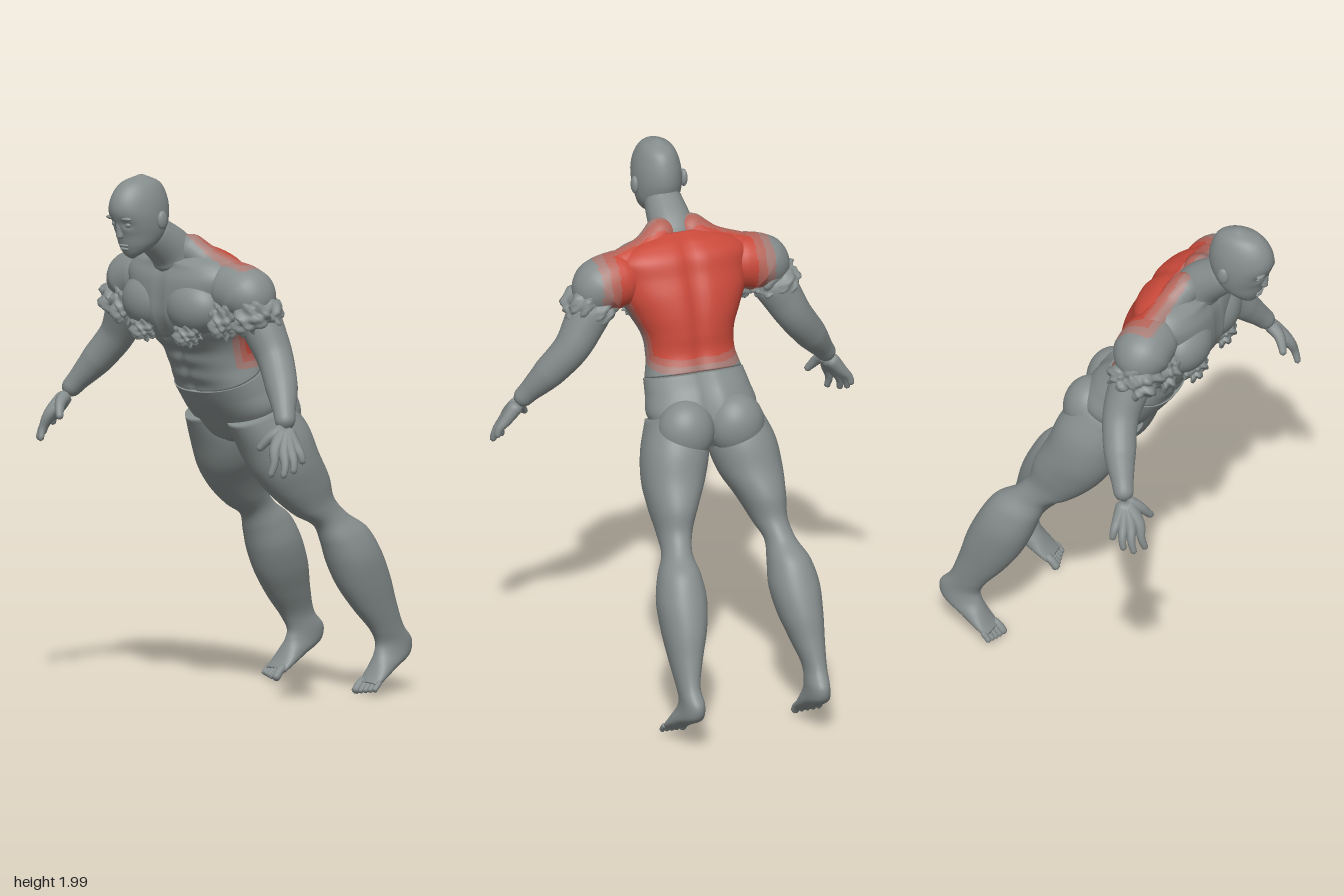
import * as THREE from 'three';
import { mergeVertices } from 'three/addons/utils/BufferGeometryUtils.js';

const V = (x, y, z) => new THREE.Vector3(x, y, z);
const gauss = (d, w) => Math.exp(-(d * d) / (w * w));

function material(name, color) {
  const m = new THREE.MeshStandardMaterial({ color });
  m.name = name;
  return m;
}

// weld a geometry so that it shades smoothly
function weld(g) {
  g.deleteAttribute('uv');
  g.deleteAttribute('normal');
  const w = mergeVertices(g, 1e-5);
  w.computeVertexNormals();
  return w;
}

// skin over tilted ovals, top to bottom: [front z, front y, back z, back y, x0, x1]
function loft(sections, { rows = 60, cols = 48, power = 2, relief = () => 1 } = {}) {
  const front = new THREE.CatmullRomCurve3(sections.map(s => V(s[5], s[1], s[0])));
  const back = new THREE.CatmullRomCurve3(sections.map(s => V(s[4], s[3], s[2])));
  const bend = v => Math.sign(v) * Math.pow(Math.abs(v), 2 / power);
  const pos = [], index = [];
  for (let i = 0; i <= rows + 2; i++) {
    const t = Math.min(1, Math.max(0, (i - 1) / rows));
    const cap = i === 0 || i === rows + 2 ? 0 : 1;
    const f = front.getPoint(t), b = back.getPoint(t);
    const mid = f.clone().add(b).multiplyScalar(0.5);
    const hx = (f.x - b.x) / 2, hy = (f.y - b.y) / 2, hz = (f.z - b.z) / 2;
    for (let j = 0; j < cols; j++) {
      const a = (j / cols) * Math.PI * 2, c = bend(Math.cos(a)), s = bend(Math.sin(a));
      const p = V(hx * c, hy * s, hz * s);
      p.multiplyScalar(cap * relief(p.x + mid.x, p.y + mid.y, s)).add(mid);
      pos.push(p.x, p.y, p.z);
      if (i < rows + 2) {
        const k = (j + 1) % cols, A = i * cols + j, B = i * cols + k;
        index.push(A, B, A + cols, B, B + cols, A + cols);
      }
    }
  }
  const g = new THREE.BufferGeometry();
  g.setAttribute('position', new THREE.Float32BufferAttribute(pos, 3));
  g.setIndex(index);
  g.computeVertexNormals();
  return g;
}

// round-ended tube whose radius follows the listed values
function limb(points, radii, steps = 24, sides = 16) {
  const curve = new THREE.CatmullRomCurve3(points);
  const g = new THREE.TubeGeometry(curve, steps, 1, sides);
  const p = g.attributes.position, v = V(0, 0, 0), length = curve.getLength();
  for (let i = 0; i <= steps; i++) {
    const u = i / steps, c = curve.getPointAt(u);
    const t = curve.getUtoTmapping(u) * (radii.length - 1);
    const k = Math.min(Math.floor(t), radii.length - 2);
    let r = THREE.MathUtils.lerp(radii[k], radii[k + 1], t - k);
    const e = Math.min(1, (length * Math.min(u, 1 - u)) / r);
    r *= Math.sqrt(1 - (1 - e) ** 2);
    for (let j = 0; j <= sides; j++) {
      const n = i * (sides + 1) + j;
      v.fromBufferAttribute(p, n).sub(c).multiplyScalar(r).add(c);
      p.setXYZ(n, v.x, v.y, v.z);
    }
  }
  return weld(g);
}

// ellipsoid, crumpled when rough > 0
function blob(c, r, rough = 0) {
  const g = weld(new THREE.IcosahedronGeometry(1, rough ? 10 : 7));
  const p = g.attributes.position;
  for (let i = 0; i < p.count; i++) {
    const x = p.getX(i), y = p.getY(i), z = p.getZ(i);
    const k = 1 + rough * (Math.sin(7 * x + 5 * y) * Math.sin(8 * z - 3 * y) + 0.6 * Math.sin(13 * y + 9 * x) * Math.cos(12 * z));
    p.setXYZ(i, c[0] + x * r[0] * k, c[1] + y * r[1] * k, c[2] + z * r[2] * k);
  }
  g.computeVertexNormals();
  return g;
}

// sort faces into skin, pale, middle and core colour groups on the back
function paintBack(g) {
  const p = g.attributes.position, ids = g.index.array, sets = [[], [], [], []];
  for (let i = 0; i < ids.length; i += 3) {
    const tri = [ids[i], ids[i + 1], ids[i + 2]];
    const mean = f => tri.reduce((s, n) => s + f(n), 0) / 3;
    const x = Math.abs(mean(n => p.getX(n))), y = mean(n => p.getY(n)), z = mean(n => p.getZ(n));
    const depth = Math.min(0.1 + (y - 1.3) * 0.33 - z, (y - 1.31) * 1.4, 0.27 - x);
    sets[depth > 0 ? 3 : depth > -0.035 ? 2 : depth > -0.07 ? 1 : 0].push(...tri);
  }
  g.setIndex(sets.flat());
  let start = 0;
  sets.forEach((s, k) => { g.addGroup(start, s.length, k); start += s.length; });
  return g;
}

export function createModel() {
  const skin = material('grey skin', 0x858d8c);
  const backColours = [skin, material('pale red edge', 0xa67c76), material('middle red band', 0xb6655a), material('red back muscle', 0xc9493a)];
  const model = new THREE.Group();
  model.name = 'leaningMuscularFigure';
  const add = (name, geometry, mat = skin) => {
    const m = new THREE.Mesh(geometry, mat);
    m.name = name;
    model.add(m);
  };

  // head with eye sockets
  add('head', loft([
    [0.5, 1.998, 0.475, 1.999, -0.012, 0.012], [0.575, 1.972, 0.405, 1.965, -0.058, 0.058],
    [0.612, 1.93, 0.378, 1.91, -0.081, 0.081], [0.625, 1.88, 0.372, 1.855, -0.09, 0.09],
    [0.61, 1.83, 0.382, 1.81, -0.089, 0.089], [0.588, 1.785, 0.4, 1.77, -0.081, 0.081],
    [0.575, 1.74, 0.43, 1.745, -0.067, 0.067], [0.557, 1.705, 0.46, 1.73, -0.045, 0.045],
    [0.535, 1.69, 0.49, 1.72, -0.018, 0.018],
  ], { relief: (x, y, s) => s > 0 ? 1 - 0.1 * gauss(Math.abs(x) - 0.037, 0.02) * gauss(y - 1.825, 0.016) : 1 }));
  add('nose', limb([V(0, 1.84, 0.6), V(0, 1.8, 0.594), V(0, 1.768, 0.588)], [0.01, 0.012, 0.017]));
  add('upperLip', blob([0, 1.743, 0.571], [0.026, 0.007, 0.012]));
  add('lowerLip', blob([0, 1.73, 0.567], [0.022, 0.007, 0.012]));
  add('neck', limb([V(0, 1.62, 0.29), V(0, 1.7, 0.335), V(0, 1.77, 0.42), V(0, 1.82, 0.47)], [0.1, 0.085, 0.072, 0.07]));

  // upper body with spine, chest and belly grooves
  add('torso', paintBack(loft([
    [0.385, 1.665, 0.235, 1.73, -0.12, 0.12], [0.385, 1.645, 0.175, 1.705, -0.22, 0.22],
    [0.4, 1.6, 0.128, 1.665, -0.265, 0.265], [0.405, 1.53, 0.1, 1.605, -0.255, 0.255],
    [0.4, 1.46, 0.07, 1.545, -0.24, 0.24], [0.365, 1.39, 0.045, 1.475, -0.205, 0.205],
    [0.305, 1.32, 0.03, 1.4, -0.17, 0.17], [0.265, 1.24, 0.022, 1.33, -0.165, 0.165],
    [0.228, 1.17, -0.005, 1.265, -0.182, 0.182],
  ], {
    rows: 90, cols: 96, power: 2.4,
    relief: (x, y, s) => s < 0 ? 1 - 0.1 * gauss(x, 0.03) : 1 - 0.06 * gauss(x, 0.015) - (y < 1.38 ? 0.025 * Math.cos(y * 95) * gauss(x, 0.1) : 0),
  })), backColours);

  // hips
  add('pelvis', loft([
    [0.236, 1.168, -0.012, 1.265, -0.188, 0.188], [0.205, 1.125, -0.07, 1.215, -0.197, 0.197],
    [0.15, 1.06, -0.11, 1.15, -0.208, 0.208], [0.095, 0.99, -0.13, 1.06, -0.15, 0.15],
    [0.05, 0.965, -0.1, 1.0, -0.05, 0.05],
  ], { power: 2.2, relief: (x, y, s) => s < 0 ? 1 - 0.12 * gauss(x, 0.02) : 1 }));

  for (const s of [1, -1]) {
    const side = s > 0 ? 'left' : 'right';
    const P = (x, y, z) => V(s * x, y, z);
    const ball = (name, c, r, rough) => add(side + name, blob([s * c[0], c[1], c[2]], r, rough));
    const span = rows => rows.map(r => s > 0 ? r : [...r.slice(0, 4), -r[5], -r[4]]);

    // face and trunk muscles
    ball('Ear', [0.096, 1.838, 0.468], [0.014, 0.034, 0.022]);
    ball('Brow', [0.037, 1.847, 0.597], [0.03, 0.008, 0.014]);
    ball('Eye', [0.036, 1.823, 0.582], [0.014, 0.01, 0.012]);
    ball('Pectoral', [0.12, 1.505, 0.33], [0.13, 0.105, 0.09]);
    ball('ChestCrumple', [0.12, 1.41, 0.365], [0.062, 0.048, 0.038], 0.2);
    ball('Buttock', [0.098, 1.07, -0.075], [0.108, 0.12, 0.1]);
    add(side + 'Trapezius', paintBack(limb([P(0.02, 1.74, 0.32), P(0.12, 1.665, 0.265), P(0.22, 1.625, 0.245), P(0.32, 1.59, 0.24)],
      [0.06, 0.06, 0.065, 0.06], 40, 24)), backColours);

    // arm
    add(side + 'Shoulder', paintBack(limb([P(0.13, 1.57, 0.26), P(0.24, 1.575, 0.245), P(0.32, 1.55, 0.24), P(0.38, 1.47, 0.23)],
      [0.08, 0.105, 0.108, 0.08], 48, 32)), backColours);
    add(side + 'Arm', limb([P(0.33, 1.53, 0.235), P(0.385, 1.43, 0.22), P(0.437, 1.34, 0.215), P(0.515, 1.235, 0.25), P(0.575, 1.155, 0.29), P(0.615, 1.1, 0.318)],
      [0.09, 0.078, 0.068, 0.06, 0.041, 0.034], 48, 24));
    ball('UpperArmCrumple', [0.362, 1.487, 0.24], [0.092, 0.078, 0.098], 0.14);
    ball('ArmpitCrumple', [0.275, 1.47, 0.32], [0.06, 0.068, 0.05], 0.2);

    // hand: each finger starts at the wrist so that together they form the palm
    const wrist = P(0.61, 1.1, 0.317);
    [[0.63, 1.03, 0.385, 0.64, 0.93, 0.418], [0.65, 1.022, 0.36, 0.683, 0.928, 0.392],
      [0.66, 1.027, 0.335, 0.699, 0.943, 0.355], [0.66, 1.04, 0.311, 0.698, 0.975, 0.307]].forEach((f, i) => {
      const knuckle = P(f[0], f[1], f[2]), tip = P(f[3], f[4], f[5]);
      const joint = knuckle.clone().lerp(tip, 0.5).add(P(0.01, 0, 0));
      add(`${side}Finger${i + 1}`, limb([wrist, knuckle, joint, tip], [0.032, 0.022, 0.015, 0.011], 24, 10));
    });
    add(side + 'Thumb', limb([wrist, P(0.588, 1.075, 0.365), P(0.565, 1.04, 0.39), P(0.55, 1.02, 0.4)], [0.03, 0.021, 0.015, 0.012], 20, 10));

    // leg down to the ball of the foot
    add(side + 'Leg', loft(span([
      [0.14, 1.045, -0.1, 1.14, 0.02, 0.212], [0.088, 0.945, -0.175, 1.035, 0.006, 0.255],
      [0.04, 0.845, -0.215, 0.93, 0.035, 0.267], [-0.02, 0.768, -0.26, 0.835, 0.085, 0.26],
      [-0.11, 0.693, -0.28, 0.75, 0.125, 0.25], [-0.195, 0.645, -0.33, 0.69, 0.148, 0.258],
      [-0.226, 0.58, -0.41, 0.635, 0.138, 0.292], [-0.255, 0.5, -0.463, 0.555, 0.13, 0.312],
      [-0.297, 0.41, -0.51, 0.45, 0.147, 0.31], [-0.36, 0.32, -0.54, 0.345, 0.18, 0.3],
      [-0.43, 0.238, -0.575, 0.25, 0.208, 0.29], [-0.456, 0.188, -0.618, 0.195, 0.205, 0.287],
      [-0.45, 0.155, -0.608, 0.145, 0.203, 0.292], [-0.435, 0.12, -0.525, 0.095, 0.2, 0.304],
      [-0.412, 0.08, -0.455, 0.057, 0.2, 0.312], [-0.39, 0.052, -0.415, 0.033, 0.206, 0.31],
    ]), { rows: 110, power: 2.15 }));
    for (let i = 0; i < 5; i++) {
      const x = 0.222 + i * 0.0205 + (i ? 0.004 : 0), r = i ? 0.0105 : 0.016;
      add(`${side}Toe${i + 1}`, limb([P(x, 0.06, -0.418), P(x, 0.042, -0.39 - i * 0.003), P(x, 0.01 + i * 0.003, -0.364 - i * 0.005)], [r, r, r], 14, 10));
    }
  }
  return model;
}
